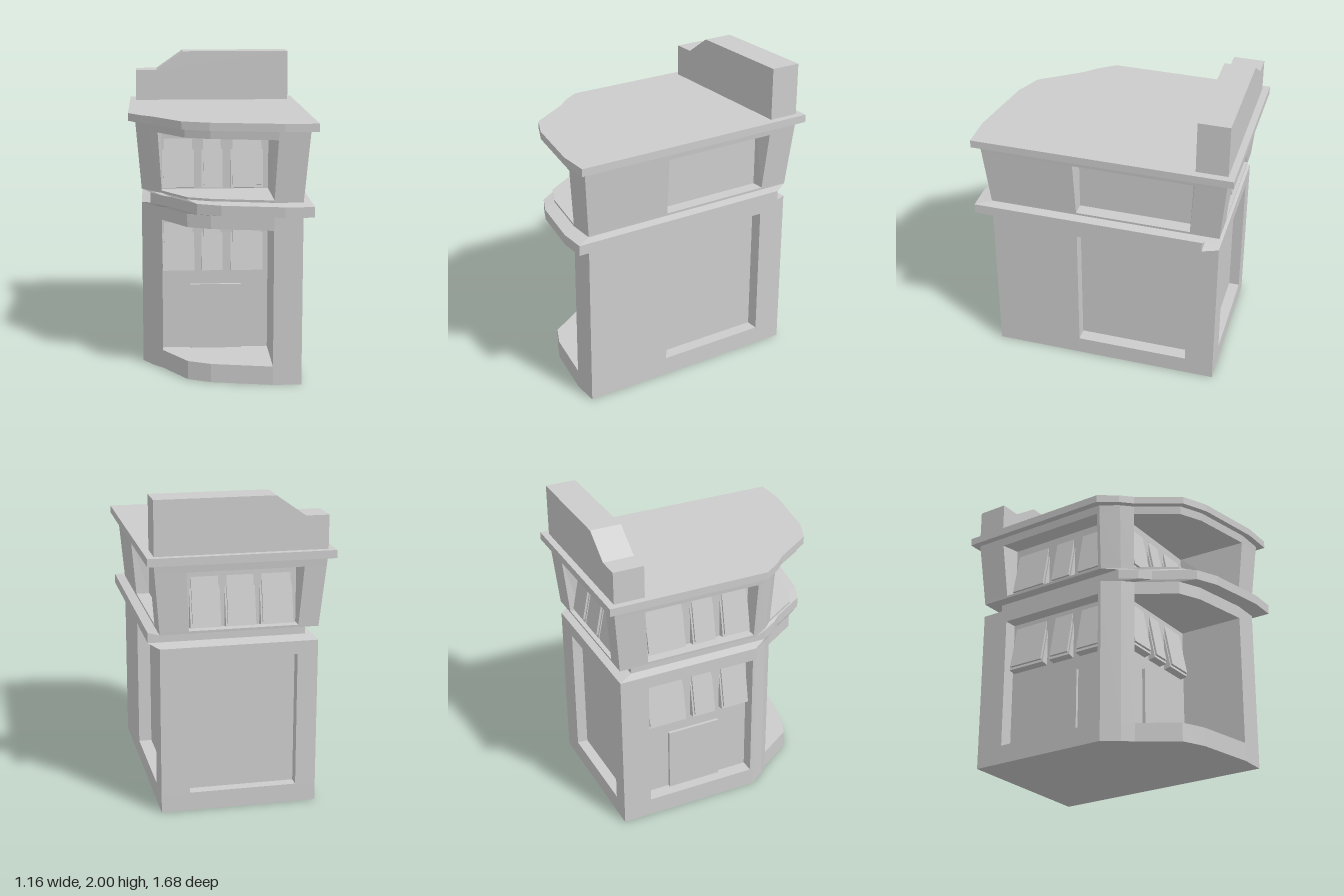
import * as THREE from 'three';

const mat = new THREE.MeshStandardMaterial({ color: 0xcccccc, flatShading: true });

// Wall plan as [x, z], counter-clockwise from the back right corner
const PLAN = [
  [-0.5, -0.76], [0.495, -0.76], [0.495, 0.74], [0.315, 0.74], [-0.07, 0.667],
  [-0.215, 0.6], [-0.37, 0.36], [-0.43, 0.297], [-0.5, 0.19],
];
const scaled = (kx, kz) => PLAN.map(([x, z]) => [x * kx, z * kz]);
const shifted = (dx, dz) => PLAN.map(([x, z]) => [x + dx, z + dz]);

// Planes at the back of the four recesses
const IN = { front: 0.3, back: -0.69, left: 0.41, right: -0.41 };

// Wall plan with a recess in each side; the outer points flare, the inner stay
function notched(kx, kz) {
  const o = (x, z) => [x * kx, z * kz];
  return [
    o(-0.5, -0.76),
    o(-0.37, -0.76), [-0.37, IN.back], [0.315, IN.back], o(0.315, -0.76),
    o(0.495, -0.76),
    o(0.495, -0.57), [IN.left, -0.57], [IN.left, 0.17], o(0.495, 0.17),
    o(0.495, 0.74),
    o(0.315, 0.74), [0.315, IN.front], [-0.37, IN.front], o(-0.37, 0.36),
    o(-0.43, 0.297), o(-0.5, 0.19),
    o(-0.5, 0.17), [IN.right, 0.17], [IN.right, -0.57], o(-0.5, -0.57),
  ];
}

// Closed solid through a stack of [y, plan] sections
function loft(sections) {
  const pos = [];
  const put = (s, i) => pos.push(s[1][i][0], s[0], s[1][i][1]);
  const n = sections[0][1].length;
  for (let k = 0; k + 1 < sections.length; k++) {
    const a = sections[k], b = sections[k + 1];
    for (let i = 0; i < n; i++) {
      const j = (i + 1) % n;
      put(a, i); put(b, i); put(b, j);
      put(a, i); put(b, j); put(a, j);
    }
  }
  const cap = (s, up) => {
    const pts = s[1].map(([x, z]) => new THREE.Vector2(x, z));
    for (const [a, b, c] of THREE.ShapeUtils.triangulateShape(pts, [])) {
      for (const i of up ? [a, c, b] : [a, b, c]) put(s, i);
    }
  };
  cap(sections[0], false);
  cap(sections[sections.length - 1], true);
  const g = new THREE.BufferGeometry();
  g.setAttribute('position', new THREE.Float32BufferAttribute(pos, 3));
  g.computeVertexNormals();
  return g;
}

function add(parent, name, geometry) {
  const m = new THREE.Mesh(geometry, mat);
  m.name = name;
  parent.add(m);
  return m;
}

// Slab leaning out at its foot; its face meets the wall at height yMeet
const SLOPE = 0.2;
function leaningSlab(parent, name, x, w, y0, y1, yMeet) {
  const depth = 0.06, tilt = Math.atan(SLOPE), yc = (y0 + y1) / 2;
  const m = add(parent, name, new THREE.BoxGeometry(w, (y1 - y0) / Math.cos(tilt), depth));
  m.rotation.x = -tilt;
  m.position.set(x, yc - Math.sin(tilt) * depth / 2,
    (yMeet - yc) * SLOPE - Math.cos(tilt) * depth / 2);
}

// Row of windows, each a frame with a raised pane; spans are [from, to]
function windowRow(parent, spans, y) {
  for (const [a, b] of spans) {
    const x = (a + b) / 2, w = b - a;
    leaningSlab(parent, 'windowFrame', x, w, y, y + 0.3, y + 0.24);
    leaningSlab(parent, 'windowPane', x, w - 0.022, y + 0.02, y + 0.32, y + 0.31);
  }
}

function door(parent, x, w) {
  add(parent, 'door', new THREE.BoxGeometry(w, 0.43, 0.04)).position.set(x, 0.335, 0);
}

function facade(parent, name, x, z, turn) {
  const g = new THREE.Group();
  g.name = name;
  g.position.set(x, 0, z);
  g.rotation.y = turn;
  parent.add(g);
  return g;
}

export function createModel() {
  const model = new THREE.Group();
  model.name = 'building';

  // Ground storey: plinth, recessed walls, lintel stepping into the belt
  add(model, 'plinth', loft([[0, PLAN], [0.12, PLAN]]));
  add(model, 'lowerWalls', loft([[0.12, notched(1, 1)], [0.99, notched(1, 1)]]));
  const belt = shifted(0.058, 0.098);
  add(model, 'beltCourse', loft([
    [0.99, PLAN], [1.075, PLAN], [1.09, belt], [1.155, belt], [1.165, PLAN],
    [1.18, scaled(1.002, 1.002)],
  ]));

  // Upper storey flares outward under the roof slab
  add(model, 'upperWalls', loft([[1.18, notched(1.002, 1.002)], [1.555, notched(1.065, 1.046)]]));
  add(model, 'upperLintel', loft([[1.555, scaled(1.065, 1.046)], [1.61, scaled(1.075, 1.053)]]));
  const roof = scaled(1.165, 1.11);
  add(model, 'roofSlab', loft([[1.61, roof], [1.66, roof]]));

  // Stepped parapet along the back of the roof
  const profile = new THREE.Shape([
    [-0.54, 1.66], [0.53, 1.66], [0.53, 2], [-0.21, 2], [-0.395, 1.87], [-0.54, 1.87],
  ].map(([x, y]) => new THREE.Vector2(x, y)));
  add(model, 'parapet', new THREE.ExtrudeGeometry(profile, { depth: 0.2, bevelEnabled: false }))
    .position.z = -0.8;

  // Doors and windows inside the recesses
  const front = facade(model, 'frontOpenings', 0, IN.front, 0);
  const frontSpans = [[-0.368, -0.163], [-0.115, 0.02], [0.073, 0.28]];
  windowRow(front, frontSpans, 0.65);
  windowRow(front, frontSpans, 1.195);
  door(front, -0.025, 0.335);

  const right = facade(model, 'rightOpenings', IN.right, 0, -Math.PI / 2);
  const rightSpans = [[-0.56, -0.29], [-0.24, -0.08], [-0.03, 0.165]];
  windowRow(right, rightSpans, 0.65);
  windowRow(right, rightSpans, 1.195);
  door(right, -0.22, 0.36);

  const back = facade(model, 'backOpenings', 0, IN.back, Math.PI);
  windowRow(back, [[-0.3, -0.11], [-0.08, 0.11], [0.14, 0.345]], 1.19);

  return model;
}
